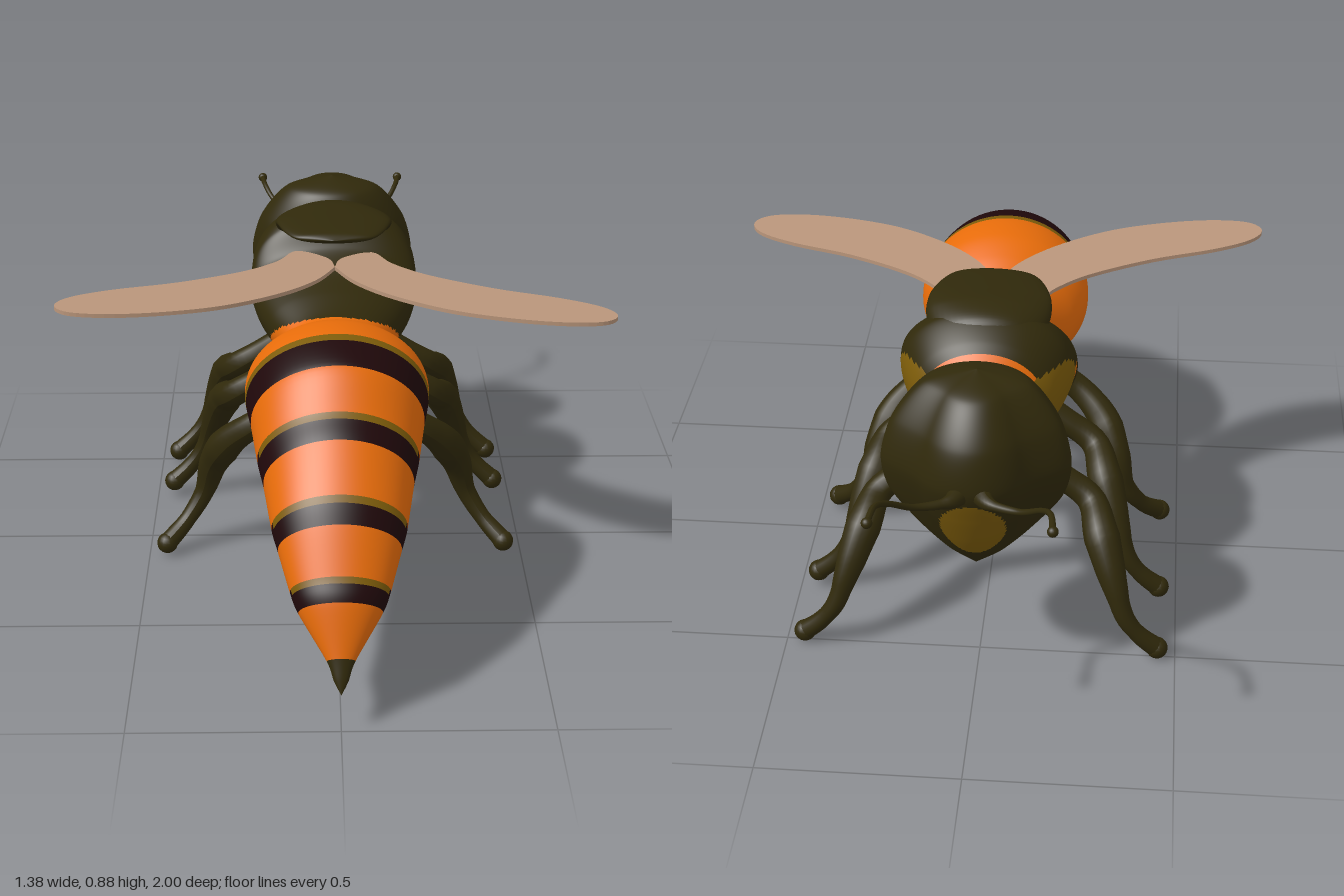
import * as THREE from 'three';

const mat = (name, color, side = THREE.FrontSide) => {
  const m = new THREE.MeshStandardMaterial({ color, side });
  m.name = name;
  return m;
};

// Skin rounded rings [zTop, yTop, zBottom, yBottom, halfWidth];
// pick(u, angle, point) returns the index of the material for each cell,
// widen(c) scales the width from c = -1 (bottom of a ring) to 1 (top).
function loft(name, rings, materials, pick, { steps = 8, sides = 72, widen = () => 1 } = {}) {
  const curve = (a, b) => new THREE.CatmullRomCurve3(
    rings.map(r => new THREE.Vector3(r[4], r[b], r[a])), false, 'catmullrom', 0.4);
  const top = curve(0, 1), bottom = curve(2, 3);
  const rows = (rings.length - 1) * steps;
  const pos = [], faces = materials.map(() => []);
  for (let i = 0; i <= rows; i++) {
    const p = top.getPoint(i / rows), q = bottom.getPoint(i / rows);
    for (let j = 0; j < sides; j++) {
      const a = j / sides * Math.PI * 2, c = Math.cos(a), k = (1 + c) / 2;
      pos.push(Math.max(p.x, 0) * Math.sin(a) * widen(c), q.y + (p.y - q.y) * k, q.z + (p.z - q.z) * k);
    }
  }
  const mid = new THREE.Vector3(), tmp = new THREE.Vector3();
  for (let i = 0; i < rows; i++) {
    for (let j = 0; j < sides; j++) {
      const j2 = (j + 1) % sides;
      const a = i * sides + j, b = a + sides, c = i * sides + j2, d = c + sides;
      mid.set(0, 0, 0);
      for (const v of [a, b, c, d]) mid.add(tmp.fromArray(pos, v * 3));
      mid.multiplyScalar(0.25);
      const m = pick((i + 0.5) / steps, (j + 0.5) / sides * Math.PI * 2, mid);
      faces[m].push(a, b, c, c, b, d);
    }
  }
  const geo = new THREE.BufferGeometry();
  geo.setAttribute('position', new THREE.Float32BufferAttribute(pos, 3));
  geo.setIndex(faces.flat());
  let start = 0;
  faces.forEach((f, m) => { geo.addGroup(start, f.length, m); start += f.length; });
  geo.computeVertexNormals();
  const mesh = new THREE.Mesh(geo, materials);
  mesh.name = name;
  return mesh;
}

// Tube whose radius follows a list, closed by a ball at the far end
function limb(name, points, radii, ball, material, side) {
  const path = new THREE.CatmullRomCurve3(points.map(([x, y, z]) => new THREE.Vector3(x * side, y, z)));
  const segs = 40, sides = 14;
  const geo = new THREE.TubeGeometry(path, segs, 1, sides);
  const p = geo.attributes.position, v = new THREE.Vector3();
  for (let i = 0; i <= segs; i++) {
    const c = path.getPointAt(i / segs);
    const f = i / segs * (radii.length - 1), k = Math.min(Math.floor(f), radii.length - 2);
    const r = THREE.MathUtils.lerp(radii[k], radii[k + 1], f - k);
    for (let j = 0; j <= sides; j++) {
      const n = i * (sides + 1) + j;
      v.fromBufferAttribute(p, n).sub(c).multiplyScalar(r).add(c);
      p.setXYZ(n, v.x, v.y, v.z);
    }
  }
  geo.computeVertexNormals();
  const end = new THREE.Mesh(new THREE.SphereGeometry(ball, 16, 12), material);
  end.position.copy(path.getPoint(1));
  end.name = name + 'Tip';
  const group = new THREE.Group();
  group.name = name;
  group.add(new THREE.Mesh(geo, material), end);
  return group;
}

export function createModel() {
  const orange = mat('orange', 0xe86c0a);
  const olive = mat('darkOlive', 0x30290b);
  const maroon = mat('darkMaroon', 0x1f080a);
  const gold = mat('gold', 0x7d5c0a);
  const wingTan = mat('wingTan', 0xba967b, THREE.DoubleSide);
  const colours = [orange, olive, maroon, gold];
  const model = new THREE.Group();

  // Abdomen: ring spans 4, 6, 8 and 10 are the dark bands, the last two the sting
  model.add(loft('abdomen', [
    [0.10, 0.67, 0.10, 0.48, 0.10],
    [0.17, 0.69, 0.19, 0.42, 0.13],
    [0.26, 0.735, 0.23, 0.395, 0.195],
    [0.34, 0.762, 0.27, 0.385, 0.225],
    [0.435, 0.765, 0.31, 0.375, 0.228],
    [0.556, 0.732, 0.395, 0.36, 0.212],
    [0.64, 0.65, 0.50, 0.335, 0.195],
    [0.70, 0.605, 0.567, 0.31, 0.18],
    [0.797, 0.51, 0.684, 0.28, 0.16],
    [0.84, 0.455, 0.73, 0.265, 0.145],
    [0.904, 0.355, 0.813, 0.225, 0.117],
    [0.936, 0.305, 0.845, 0.20, 0.098],
    [0.975, 0.18, 0.945, 0.15, 0.033],
    [0.99, 0.135, 0.975, 0.118, 0.017],
    [1.0, 0.098, 1.0, 0.098, 0],
  ], colours, (u, a) => {
    const span = Math.floor(u);
    if (span >= 12) return 1;
    if (![4, 6, 8, 10].includes(span)) return 0;
    return u - span < 0.25 && Math.cos(a) > (span === 4 ? -0.3 : 0.2) ? 3 : 2;
  }));

  // Thorax: orange below, olive saddle above, gold patch on each flank
  model.add(loft('thorax', [
    [-0.47, 0.72, -0.47, 0.54, 0.08],
    [-0.42, 0.77, -0.42, 0.48, 0.11],
    [-0.36, 0.83, -0.36, 0.455, 0.17],
    [-0.28, 0.868, -0.28, 0.455, 0.208],
    [-0.21, 0.845, -0.21, 0.46, 0.217],
    [-0.16, 0.775, -0.16, 0.465, 0.217],
    [-0.08, 0.735, -0.08, 0.47, 0.20],
    [0.0, 0.71, 0.0, 0.47, 0.17],
    [0.10, 0.68, 0.10, 0.47, 0.12],
    [0.18, 0.69, 0.18, 0.45, 0.11],
  ], colours, (u, a, p) => {
    const zc = -0.313 - (p.y - 0.645) * 0.2;
    if (Math.abs((p.z - zc) / 0.085) ** 3 + Math.abs((p.y - 0.64) / 0.112) ** 3 < 1) return 3;
    if (p.z < -0.385 || p.z > 0.1) return 0;
    const edge = p.z < -0.21 ? 0.70 : p.z < -0.02 ? 0.57 : 0.57 + (p.z + 0.02) * 0.9;
    return p.y > edge ? 1 : 0;
  }, { steps: 16, sides: 128, widen: c => 1 + 0.22 * c }));

  // Raised back plate overhanging the wing roots
  model.add(loft('backPlate', [
    [-0.36, 0.80, -0.34, 0.72, 0.05],
    [-0.31, 0.863, -0.27, 0.72, 0.13],
    [-0.24, 0.88, -0.21, 0.775, 0.155],
    [-0.17, 0.876, -0.16, 0.82, 0.152],
    [-0.09, 0.868, -0.09, 0.827, 0.13],
    [-0.04, 0.86, -0.04, 0.832, 0.095],
    [-0.015, 0.847, -0.015, 0.847, 0],
  ], [olive], () => 0, { sides: 48 }));

  // Head: rings run from crown to chin, back edge first, pinched toward the face
  model.add(loft('head', [
    [-0.545, 0.864, -0.545, 0.864, 0],
    [-0.455, 0.83, -0.655, 0.835, 0.125],
    [-0.42, 0.74, -0.73, 0.745, 0.2],
    [-0.42, 0.64, -0.75, 0.64, 0.228],
    [-0.44, 0.545, -0.718, 0.545, 0.21],
    [-0.51, 0.455, -0.675, 0.455, 0.135],
    [-0.56, 0.385, -0.63, 0.385, 0.065],
    [-0.59, 0.34, -0.59, 0.34, 0],
  ], [olive, maroon, gold], (u, a, p) => {
    // gold face plate, then a dark crescent at the lower rear of each eye
    if (p.z < -0.6 && (p.x / 0.08) ** 2 + ((p.y - 0.505) / 0.098) ** 2 < 1) return 2;
    const d = Math.hypot(p.z + 0.58, p.y - 0.625);
    return d > 0.07 && d < 0.098 && p.y < 0.64 && p.z > -0.575 ? 1 : 0;
  }, { steps: 16, sides: 112, widen: c => 1 - 0.32 * THREE.MathUtils.smoothstep(-c, 0, 0.65) }));

  // Legs, antennae and wings, mirrored
  const foreLeg = [[0.08, 0.50, -0.31], [0.19, 0.425, -0.32], [0.27, 0.37, -0.34],
    [0.30, 0.32, -0.42], [0.34, 0.21, -0.487], [0.37, 0.125, -0.508], [0.41, 0.07, -0.507], [0.453, 0.03, -0.50]];
  const legs = {
    frontLeg: foreLeg,
    middleLeg: foreLeg.map(([x, y, z]) => [x, y + 0.015, z + 0.24]),
    hindLeg: [[0.06, 0.52, 0.09], [0.19, 0.42, 0.155], [0.275, 0.345, 0.12],
      [0.325, 0.25, 0.06], [0.352, 0.16, 0.047], [0.40, 0.085, 0.07], [0.452, 0.036, 0.11]],
  };
  const wingOutline = [[0, 0.02], [0.02, -0.05], [0.1, -0.1], [0.15, -0.015], [0.24, 0.07], [0.4, 0.16], [0.56, 0.222],
    [0.66, 0.28], [0.692, 0.34], [0.65, 0.385], [0.54, 0.392], [0.4, 0.365], [0.27, 0.315], [0.14, 0.225], [0.05, 0.125]];

  for (const side of [1, -1]) {
    const label = side > 0 ? 'left' : 'right';
    for (const [name, points] of Object.entries(legs)) {
      model.add(limb(`${label} ${name}`, points,
        [0.04, 0.034, 0.034, 0.038, 0.046, 0.038, 0.026, 0.022, 0.026], 0.028, olive, side));
    }
    model.add(limb(`${label} antenna`, [[0.025, 0.63, -0.72], [0.045, 0.635, -0.765], [0.12, 0.65, -0.815],
      [0.175, 0.695, -0.87], [0.197, 0.72, -0.92], [0.205, 0.722, -0.987]],
    [0.03, 0.012, 0.008, 0.007, 0.007, 0.008], 0.013, olive, side));

    const outline = new THREE.Shape();
    outline.setFromPoints(new THREE.SplineCurve(
      [...wingOutline, wingOutline[0]].map(([x, z]) => new THREE.Vector2(x * side, z))).getPoints(75).slice(0, -1));
    const geo = new THREE.ExtrudeGeometry(outline, { depth: 0.01, bevelEnabled: false });
    geo.rotateX(Math.PI / 2);
    // The wing pair tilts slightly to one side
    const p = geo.attributes.position;
    for (let i = 0; i < p.count; i++) p.setY(i, p.getY(i) + 0.789 - p.getX(i) * 0.025);
    geo.computeVertexNormals();
    const wing = new THREE.Mesh(geo, wingTan);
    wing.name = `${label} wing`;
    model.add(wing);
  }
  return model;
}
